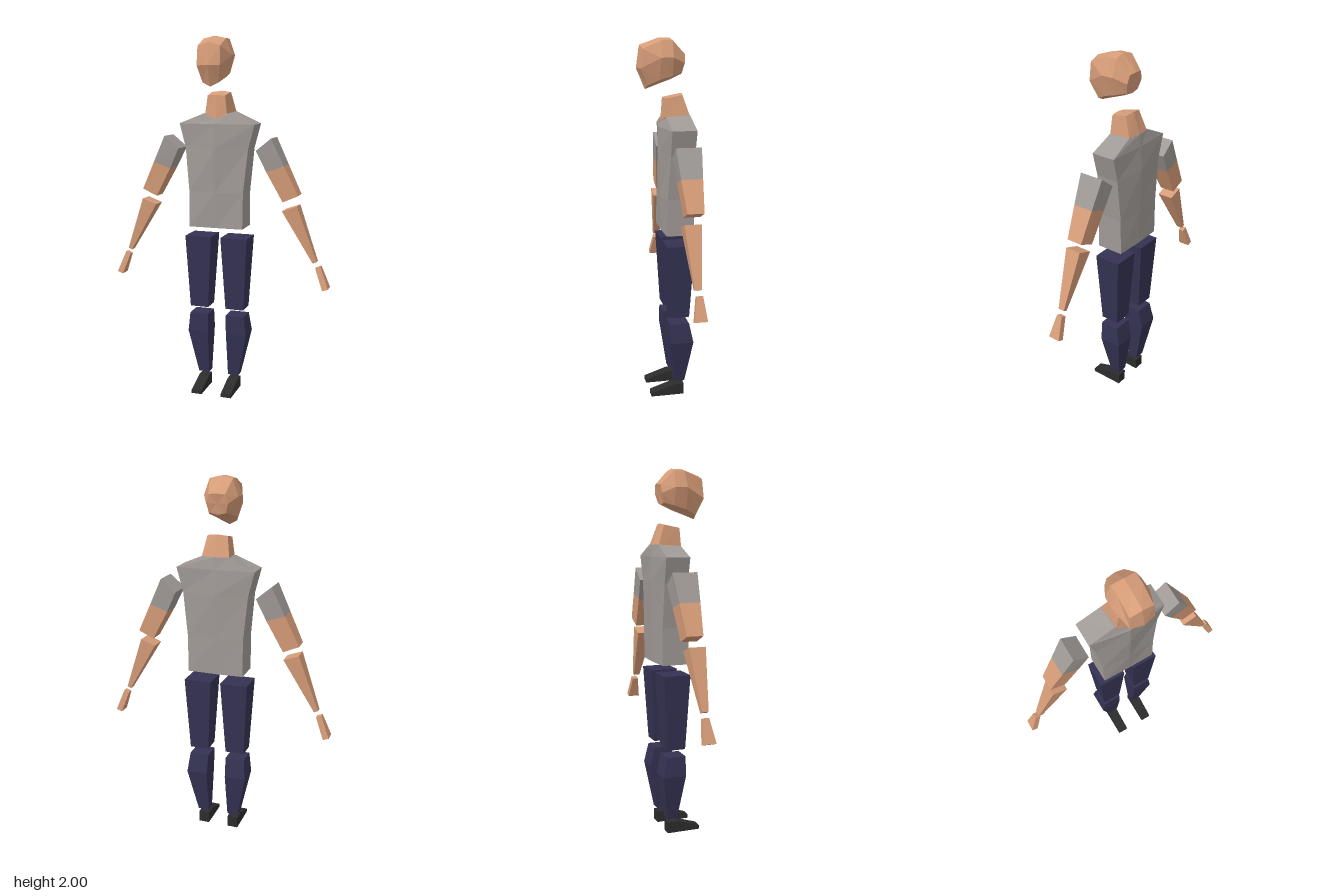
import * as THREE from 'three';

const material = (name, color) => {
  const m = new THREE.MeshStandardMaterial({ color });
  m.name = name;
  return m;
};

// Mean of a ring of points, used as the hub of an end cap
const centre = (ring) => [0, 1, 2].map((k) => ring.reduce((s, p) => s + p[k], 0) / ring.length);

// Faceted closed solid through rings of equal point count; one material per band
function loft(name, rings, mats, hubs = []) {
  const n = rings[0].length, last = rings.length - 1;
  const bands = [];
  for (let i = 0; i < last; i++) {
    const tris = [], a = rings[i], b = rings[i + 1];
    for (let j = 0; j < n; j++) {
      const k = (j + 1) % n;
      tris.push([a[j], a[k], b[k]], [a[j], b[k], b[j]]);
      if (i === 0) tris.push([hubs[0] || centre(a), a[k], a[j]]);
      if (i === last - 1) tris.push([hubs[1] || centre(b), b[j], b[k]]);
    }
    bands.push(tris);
  }
  // Turn the faces outward whichever way the rings run
  const v = (p) => new THREE.Vector3(...p);
  let volume = 0;
  bands.flat().forEach(([a, b, c]) => { volume += v(a).dot(v(b).cross(v(c))); });
  const geometry = new THREE.BufferGeometry();
  const positions = [];
  bands.forEach((tris, i) => {
    const start = positions.length / 3;
    tris.forEach(([a, b, c]) => positions.push(...a, ...(volume < 0 ? c : b), ...(volume < 0 ? b : c)));
    if (Array.isArray(mats)) geometry.addGroup(start, tris.length * 3, i);
  });
  geometry.setAttribute('position', new THREE.Float32BufferAttribute(positions, 3));
  geometry.computeVertexNormals();
  const mesh = new THREE.Mesh(geometry, mats);
  mesh.name = name;
  return mesh;
}

// Half ring from centre line to centre line, completed by mirroring in x
const symmetric = (half) => [...half, ...half.slice(1, -1).reverse().map(([x, y, z]) => [-x, y, z])];

// Four-sided limb section given by its outer and inner edge, front z and back z
const section = (xo, yo, xi, yi, zf, zb) => [[xo, yo, zf], [xo, yo, zb], [xi, yi, zb], [xi, yi, zf]];
const level = (y, xo, xi, zf, zb) => section(xo, y, xi, y, zf, zb);

export function createModel() {
  const skin = material('skin', 0xd69c78);
  const shirt = material('shirt grey', 0xa09a96);
  const trousers = material('trouser navy', 0x343252);
  const shoe = material('shoe black', 0x2c2c2c);
  const model = new THREE.Group();
  model.name = 'figure';

  // Head: rings from face to back of skull
  model.add(loft('head', [
    [[0, 1.965, 0.135], [0.062, 1.945, 0.13], [0.064, 1.845, 0.14], [0.045, 1.757, 0.1], [0, 1.735, 0.108]],
    [[0, 2, 0.035], [0.063, 1.987, 0.03], [0.097, 1.9, 0.035], [0.066, 1.785, 0.04], [0, 1.762, 0.035]],
    [[0, 2, -0.025], [0.063, 1.987, -0.03], [0.094, 1.9, -0.03], [0.066, 1.805, -0.03], [0, 1.785, -0.03]],
    [[0, 1.92, -0.105], [0.045, 1.915, -0.1], [0.06, 1.87, -0.095], [0.045, 1.82, -0.083], [0, 1.81, -0.085]],
  ].map(symmetric), skin, [[0, 1.845, 0.155]]));

  // Neck: back corners wider than front corners
  model.add(loft('neck', [
    [[0, 1.56, 0.025], [0.062, 1.59, 0.01], [0.075, 1.6, -0.12], [0, 1.6, -0.13]],
    [[0, 1.69, 0.012], [0.05, 1.688, 0.005], [0.055, 1.705, -0.085], [0, 1.712, -0.093]],
  ].map(symmetric), skin));

  // Torso: half width, then z of front side, front middle, back side, back middle
  const torso = [
    [0.96, 0.155, 0.02, 0.022, -0.13, -0.135],
    [1.16, 0.156, 0.015, 0.03, -0.13, -0.14],
    [1.4, 0.18, 0.003, 0.04, -0.127, -0.147],
    [1.535, 0.215, 0.003, 0.037, -0.13, -0.14],
  ].map(([y, w, fs, fm, bs, bm]) => symmetric([[0, y, fm], [w, y, fs], [w, y, bs], [0, y, bm]]));
  torso.push(symmetric([[0, 1.558, 0.026], [0.07, 1.592, 0.005], [0.076, 1.6, -0.122], [0, 1.6, -0.131]]));
  model.add(loft('torso', torso, shirt));

  // Limbs, built on the left and mirrored to the right
  for (const [side, s] of [['left', 1], ['right', -1]]) {
    const limb = (name, rings, mats) =>
      model.add(loft(side + name, rings.map((r) => r.map(([x, y, z]) => [s * x, y, z])), mats));

    limb('UpperArm', [
      section(0.307, 1.463, 0.224, 1.395, 0.005, -0.13),
      section(0.378, 1.315, 0.28, 1.28, -0.007, -0.12),
      section(0.455, 1.155, 0.37, 1.117, -0.022, -0.11),
    ], [shirt, skin]);
    limb('Forearm', [
      section(0.452, 1.1, 0.37, 1.07, -0.008, -0.097),
      section(0.562, 0.795, 0.54, 0.785, -0.037, -0.073),
    ], skin);
    limb('Hand', [
      section(0.582, 0.77, 0.553, 0.758, -0.043, -0.075),
      section(0.63, 0.65, 0.598, 0.638, -0.023, -0.09),
    ], skin);
    limb('Thigh', [
      level(0.905, 0.18, 0.028, 0.02, -0.13),
      level(0.49, 0.158, 0.052, -0.002, -0.107),
    ], trousers);
    limb('Shin', [
      level(0.45, 0.16, 0.052, 0, -0.107),
      level(0.34, 0.173, 0.055, -0.002, -0.13),
      level(0.085, 0.12, 0.058, -0.035, -0.09),
    ], trousers);
    // Shoe: wedge profile swept across x
    const profile = [[0, 0.1], [0.02, 0.1], [0.063, -0.03], [0.063, -0.088], [0, -0.088]];
    limb('Shoe', [0.058, 0.118].map((x) => profile.map(([y, z]) => [x, y, z])), shoe);
  }
  return model;
}
